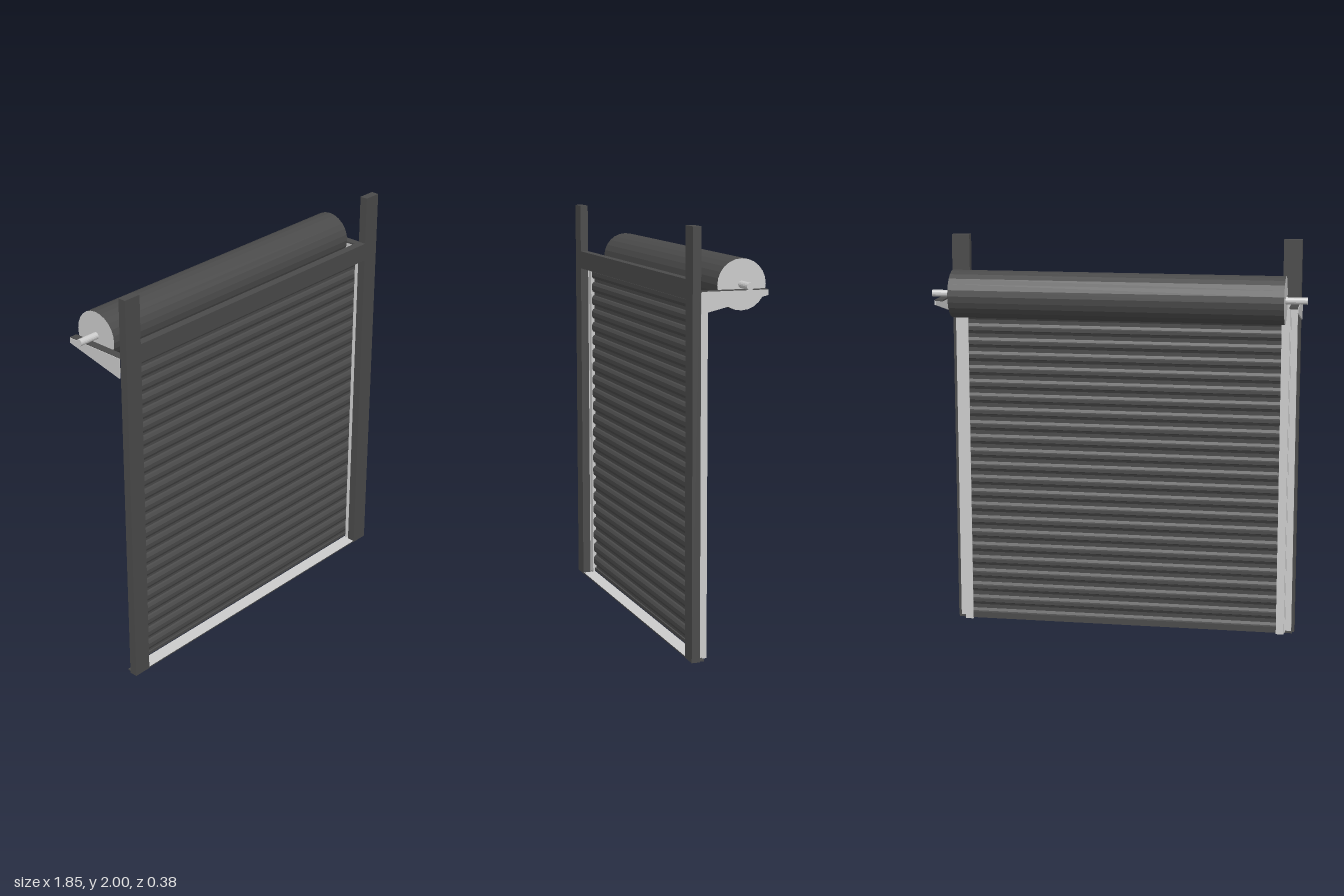
import * as THREE from 'three';

const mat = (color, side = THREE.FrontSide) =>
  new THREE.MeshStandardMaterial({ color, side, flatShading: true });
const dark = mat(0x4a4a4a);
const darkSheet = mat(0x4a4a4a, THREE.DoubleSide);
const light = mat(0xcccccc);

export function createModel() {
  const model = new THREE.Group();
  model.name = 'rollerShutter';

  const add = (parent, name, geometry, material) => {
    const mesh = new THREE.Mesh(geometry, material);
    mesh.name = name;
    parent.add(mesh);
    return mesh;
  };
  // box given by its limits on each axis
  const box = (parent, name, [x0, x1], [y0, y1], [z0, z1], material) => {
    const mesh = add(parent, name, new THREE.BoxGeometry(x1 - x0, y1 - y0, z1 - z0), material);
    mesh.position.set((x0 + x1) / 2, (y0 + y1) / 2, (z0 + z1) / 2);
    return mesh;
  };

  // lintel between the posts
  box(model, 'lintel', [-0.79, 0.79], [1.67, 1.76], [0.15, 0.19], dark);

  // sill: pale on top, dark on its other faces
  box(model, 'sill', [-0.82, 0.82], [0, 0.006], [0.12, 0.188],
    [dark, dark, light, dark, dark, dark]);

  // curtain of slats: one bulge and one groove per pitch, swept along x
  const pitch = 0.0715, top = 1.7, base = 0.02;
  const slat = [[0, 0.106], [0.016, 0.106], [0.02, 0.116], [0.034, 0.122], [0.054, 0.122], [0.068, 0.114]];
  const profile = [[0.004, 0.114], [base, 0.114]];
  for (let y = base; y < top - 0.03; y += pitch) {
    for (const [dy, z] of slat) profile.push([Math.min(y + dy, top), z]);
  }
  const curtainGeometry = new THREE.PlaneGeometry(1.64, 1, 1, profile.length - 1);
  const pos = curtainGeometry.attributes.position;
  for (let i = 0; i < pos.count; i++) {
    const [y, z] = profile[profile.length - 1 - Math.floor(i / 2)];
    pos.setY(i, y);
    pos.setZ(i, z);
  }
  curtainGeometry.computeVertexNormals();
  add(model, 'curtain', curtainGeometry, darkSheet);

  // rolled-up curtain with pale end discs, and its shaft
  const roll = add(model, 'roll', new THREE.CylinderGeometry(0.118, 0.118, 1.64, 24), [dark, light, light]);
  const shaft = add(model, 'shaft', new THREE.CylinderGeometry(0.017, 0.017, 1.85, 16), light);
  for (const part of [roll, shaft]) {
    part.rotation.z = Math.PI / 2;
    part.position.set(0, 1.73, -0.068);
  }

  // post, guide rail and bracket, built on the left and mirrored by limits
  for (const side of [1, -1]) {
    const group = new THREE.Group();
    group.name = side > 0 ? 'leftSide' : 'rightSide';
    model.add(group);
    const span = (a, b) => (side > 0 ? [a, b] : [-b, -a]);

    box(group, 'post', span(0.79, 0.88), [0, 2], [0.15, 0.19], dark);

    // U-shaped guide channel around the curtain edge
    box(group, 'guideBack', span(0.79, 0.83), [0, 1.7], [0.098, 0.102], light);
    box(group, 'guideWeb', span(0.826, 0.83), [0, 1.7], [0.102, 0.132], light);
    box(group, 'guideFront', span(0.79, 0.83), [0, 1.7], [0.13, 0.134], light);
    // angle fixing the guide to the post
    box(group, 'angleWeb', span(0.83, 0.834), [0, 1.67], [0.125, 0.15], light);
    box(group, 'anglePlate', span(0.795, 0.865), [0, 1.67], [0.144, 0.15], light);
    box(group, 'foot', span(0.795, 0.87), [0, 0.006], [0.125, 0.15], dark);

    // bracket: tapered web under a flat flange
    const web = new THREE.Shape([[0.15, 1.61], [0.15, 1.71], [-0.17, 1.71], [-0.17, 1.685]]
      .map(([z, y]) => new THREE.Vector2(-z, y)));
    const webGeometry = new THREE.ExtrudeGeometry(web, { depth: 0.006, bevelEnabled: false });
    webGeometry.rotateY(Math.PI / 2);
    const webMesh = add(group, 'bracketWeb', webGeometry, light);
    webMesh.position.x = side > 0 ? 0.882 : -0.888;
    box(group, 'bracketFlange', span(0.845, 0.885), [1.704, 1.712], [-0.172, 0.15], dark);
  }

  return model;
}
